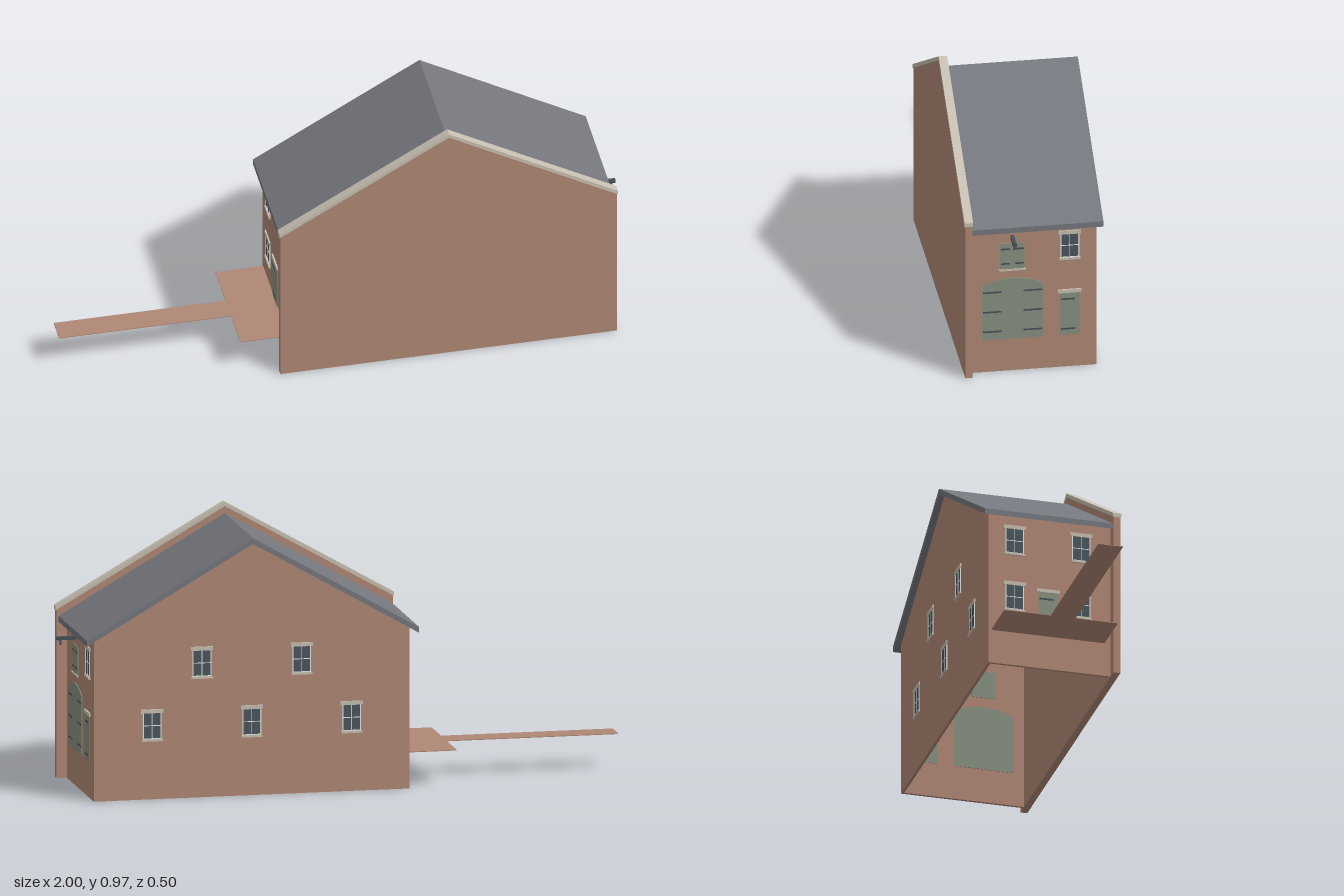
import * as THREE from 'three';

const mat = (name, color) => Object.assign(new THREE.MeshStandardMaterial({ color }), { name });

export function createModel() {
  const brick = mat('brick', 0xb08875);
  const slate = mat('slate', 0x75787e);
  const stone = mat('stone', 0xc8c0b2);
  const green = mat('green paint', 0x869180);
  const iron = mat('dark iron', 0x465058);
  const glass = mat('dark glass', 0x4a565f);
  const white = mat('white frame', 0xe6e6e2);

  const model = new THREE.Group();
  model.name = 'warehouse';
  const CX = 0.362, HALF = 0.57, BACK = -0.226, FRONT = 0.222, T = 0.01;

  const add = (parent, name, geometry, material) => {
    const mesh = new THREE.Mesh(geometry, material);
    mesh.name = name;
    parent.add(mesh);
    return mesh;
  };
  // box given by its min and max corners
  const box = (parent, name, material, x0, x1, y0, y1, z0, z1) => {
    const m = add(parent, name, new THREE.BoxGeometry(x1 - x0, y1 - y0, z1 - z0), material);
    m.position.set((x0 + x1) / 2, (y0 + y1) / 2, (z0 + z1) / 2);
    return m;
  };
  // outline in x and y, extruded from z0 to z1
  const slab = (parent, name, material, shape, z0, z1, x = 0) => {
    const g = new THREE.ExtrudeGeometry(shape, { depth: z1 - z0, bevelEnabled: false, curveSegments: 16 });
    const m = add(parent, name, g, material);
    m.position.set(x, 0, z0);
    return m;
  };
  const poly = (...pts) => new THREE.Shape(pts.map(p => new THREE.Vector2(...p)));
  const gable = (h, eave, peak) => poly([-h, 0], [h, 0], [h, eave], [0, peak], [-h, eave]);
  const chevron = (h, eave, peak, t) =>
    poly([-h, eave - t], [0, peak - t], [h, eave - t], [h, eave], [0, peak], [-h, eave]);

  // walls, open underneath
  slab(model, 'backWall', brick, gable(HALF, 0.577, 0.907), BACK, BACK + T, CX);
  for (const [s, name] of [[1, 'leftWall'], [-1, 'rightWall']]) {
    const x = CX + s * (HALF - T / 2);
    box(model, name, brick, x - T / 2, x + T / 2, 0, 0.577, BACK + T, FRONT);
  }
  slab(model, 'frontParapetWall', brick, gable(0.607, 0.607, 0.954), FRONT, 0.247, CX);
  slab(model, 'parapetCoping', stone, chevron(0.611, 0.619, 0.968, 0.015), 0.2195, 0.25, CX);

  // roof with a thin overhang
  slab(model, 'roof', slate, chevron(0.6, 0.583, 0.928, 0.021), -0.247, FRONT, CX);

  // wall frames: x runs along the wall, y up, z out of the wall
  const face = (name, x, z, turn) => {
    const g = new THREE.Group();
    g.name = name;
    g.position.set(x, 0, z);
    g.rotation.y = turn;
    model.add(g);
    return g;
  };
  const gateSide = face('gateSideDetails', CX + HALF, 0, Math.PI / 2);
  const entrySide = face('entrySideDetails', CX - HALF, 0, -Math.PI / 2);
  const backSide = face('backDetails', CX, BACK, Math.PI);

  // four-pane window with stone lintel and sill
  const addWindow = (wall, x, y) => {
    const g = new THREE.Group();
    g.name = 'window';
    g.position.set(x, y, 0);
    wall.add(g);
    const w = 0.032, h = 0.047;
    box(g, 'glass', glass, -w, w, -h, h, -T - 0.002, 0.001);
    for (const s of [-1, 1]) {
      box(g, 'frameSide', white, s * w - 0.0018, s * w + 0.0018, -h, h, 0, 0.003);
      box(g, 'frameRail', white, -w, w, s * h - 0.0018, s * h + 0.0018, 0, 0.003);
    }
    box(g, 'mullion', white, -0.0013, 0.0013, -h, h, 0, 0.0025);
    box(g, 'crossBar', white, -w, w, -0.0013, 0.0013, 0, 0.0025);
    box(g, 'lintel', stone, -0.04, 0.04, h - 0.002, h + 0.012, -0.002, 0.005);
    box(g, 'sill', stone, -0.038, 0.038, -h - 0.009, -h - 0.001, -0.002, 0.006);
  };
  const hinges = (wall, x0, x1, heights) => {
    for (const y of heights) box(wall, 'hinge', iron, x0, x1, y - 0.003, y + 0.003, 0, 0.0045);
  };
  // narrow plank door with stone lintel
  const addDoor = (wall, x) => {
    box(wall, 'door', green, x - 0.035, x + 0.035, 0.128, 0.296, -T - 0.002, 0.003);
    box(wall, 'doorLintel', stone, x - 0.042, x + 0.042, 0.295, 0.308, -0.002, 0.006);
    hinges(wall, x - 0.031, x + 0.02, [0.152, 0.27]);
  };

  // gate side: arched double gate, loading hatch, door, window
  const gate = poly([-0.1085, 0.127], [0.1085, 0.127], [0.1085, 0.342]);
  gate.quadraticCurveTo(0, 0.395, -0.1085, 0.342);
  slab(gateSide, 'archedGate', green, gate, -T - 0.002, 0.003, -0.0735);
  hinges(gateSide, -0.178, -0.113, [0.16, 0.238, 0.316]);
  hinges(gateSide, -0.034, 0.033, [0.16, 0.238, 0.316]);
  box(gateSide, 'loadingHatch', green, -0.118, -0.03, 0.405, 0.507, -T - 0.002, 0.003);
  box(gateSide, 'hatchSill', stone, -0.123, -0.025, 0.399, 0.405, -0.002, 0.006);
  hinges(gateSide, -0.114, -0.083, [0.427, 0.485]);
  hinges(gateSide, -0.065, -0.032, [0.427, 0.485]);
  addDoor(gateSide, 0.13);
  addWindow(gateSide, 0.131, 0.483);

  // hoist beam and hook above the hatch
  box(gateSide, 'hoistBeam', iron, -0.081, -0.068, 0.526, 0.538, -0.005, 0.068);
  box(gateSide, 'hoistHook', iron, -0.077, -0.072, 0.508, 0.527, 0.052, 0.058);

  // entry side: four windows around the door
  for (const x of [-0.13, 0.114]) for (const y of [0.265, 0.483]) addWindow(entrySide, x, y);
  addDoor(entrySide, -0.008);

  // back: staggered windows
  for (const x of [-0.18, 0.18]) addWindow(backSide, x, 0.483);
  for (const x of [-0.36, 0, 0.36]) addWindow(backSide, x, 0.265);

  // landing and walkway to the door
  box(model, 'landing', brick, -0.38, CX - HALF, 0.127, 0.13, -0.215, 0.2);
  box(model, 'walkway', brick, -1, -0.38, 0.127, 0.13, -0.045, 0.045);

  return model;
}
